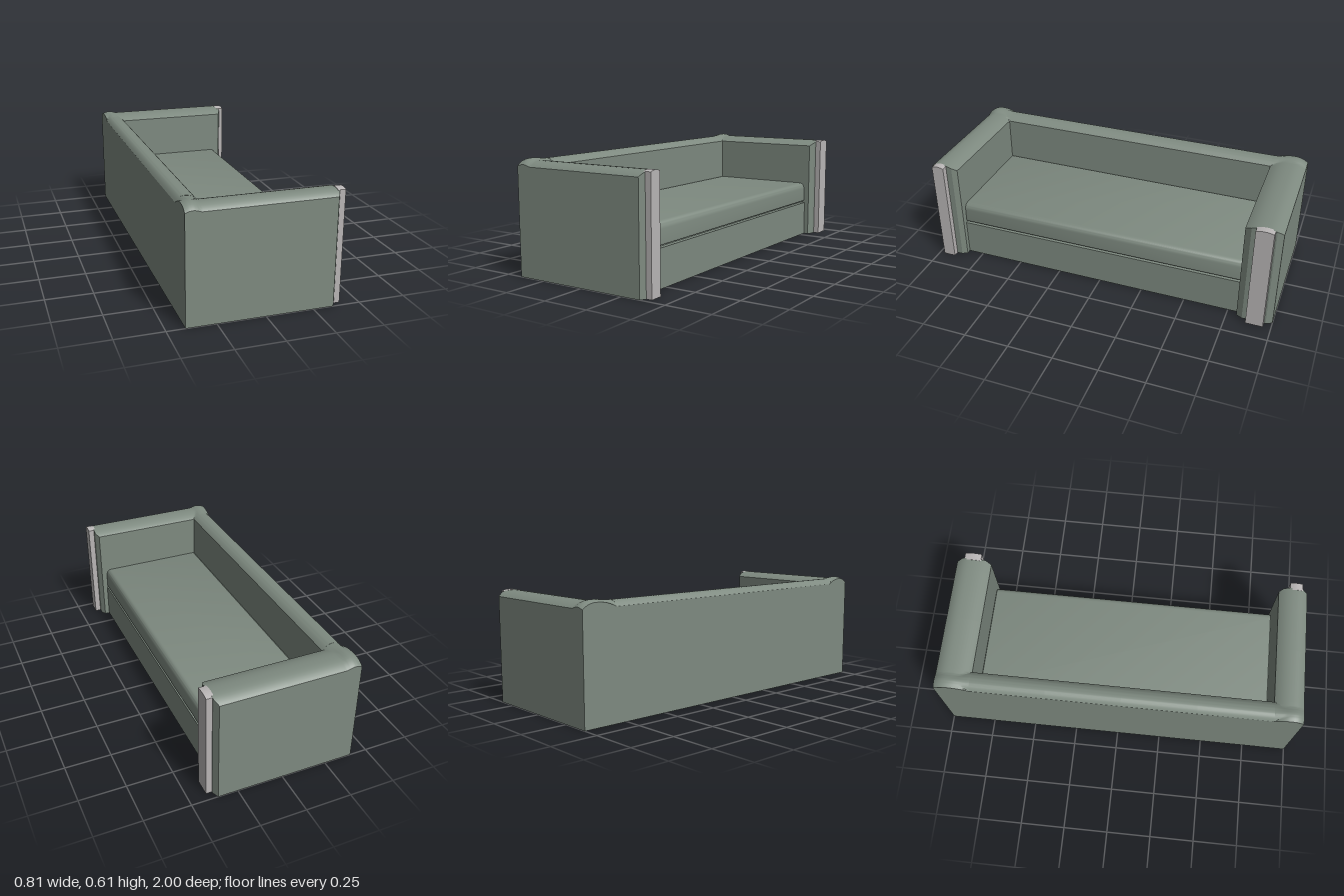
import * as THREE from 'three';
import { toCreasedNormals } from 'three/addons/utils/BufferGeometryUtils.js';

const BACK = -0.405, BACK_IN = -0.295, ARM_END = 0.373, EDGE = 0.573, CROWN = 0.03;
const range = (a, b, n) => Array.from({ length: n + 1 }, (_, i) => a + (b - a) * i / n);

// padded crown: 0 at both edges, 1 at 40 percent of the width
function dome(t) {
  if (t <= 0 || t >= 1) return 0;
  const u = Math.abs(t - 0.4) / (t < 0.4 ? 0.4 : 0.6);
  return 1 - Math.pow(u, 2.4);
}
const backDome = x => dome((x - BACK) / (BACK_IN - BACK));

// block standing on y = 0 whose top follows height(x, z); xs, zs ascending
function paddedBlock(xs, zs, height, limitX = () => Infinity) {
  const pos = [], X = xs.length - 1, Z = zs.length - 1;
  const top = (i, j) => {
    const x = Math.min(xs[i], limitX(zs[j]));
    return [x, height(x, zs[j]), zs[j]];
  };
  const foot = p => [p[0], 0, p[2]];
  const quad = (a, b, c, d) => pos.push(...a, ...b, ...c, ...a, ...c, ...d);
  const wall = (a, b) => quad(foot(a), foot(b), b, a);
  for (let i = 0; i < X; i++) for (let j = 0; j < Z; j++) {
    const a = top(i, j), b = top(i, j + 1), c = top(i + 1, j + 1), d = top(i + 1, j);
    quad(a, b, c, d);
    quad(foot(a), foot(d), foot(c), foot(b));
  }
  for (let i = 0; i < X; i++) {
    wall(top(i, Z), top(i + 1, Z));
    wall(top(i + 1, 0), top(i, 0));
  }
  for (let j = 0; j < Z; j++) {
    wall(top(0, j), top(0, j + 1));
    wall(top(X, j + 1), top(X, j));
  }
  const g = new THREE.BufferGeometry();
  g.setAttribute('position', new THREE.Float32BufferAttribute(pos, 3));
  return toCreasedNormals(g, 0.4);
}

export function createModel() {
  const model = new THREE.Group();
  const fabric = new THREE.MeshStandardMaterial({ color: 0x7e8a80 });
  fabric.name = 'sage fabric';
  const trim = new THREE.MeshStandardMaterial({ color: 0xb9b6b6 });
  trim.name = 'pale grey trim';
  const add = (name, geometry, material) => {
    const mesh = new THREE.Mesh(geometry, material);
    mesh.name = name;
    model.add(mesh);
    return mesh;
  };

  // arms with a domed top, a raised rear corner and a chamfered front end
  const arms = [
    { name: 'leftArm', outer: 1, inner: 0.84, panel: [0.9, 0.97] },
    { name: 'rightArm', outer: -1, inner: -0.803, panel: [-0.957, -0.862] },
  ];
  for (const { name, outer, inner, panel } of arms) {
    const across = z => (z - outer) / (inner - outer);
    const height = (x, z) => {
      const t = across(z), a = dome(t);
      const bump = x < -0.325 ? Math.sin(Math.PI * (x - BACK) / 0.08) : 0;
      const blend = t > 0.4 ? Math.max(a, backDome(x)) : a;
      return EDGE + 0.029 * blend + 0.01 * bump * Math.min(1, (1 - t) / 0.5);
    };
    const end = z => {
      const t = across(z);
      return ARM_END - 0.016 * Math.max(0, 1 - Math.min(t, 1 - t) / 0.17);
    };
    const zs = [0, 0.04, 0.09, 0.17, 0.25, 0.33, 0.4, 0.5, 0.6, 0.7, 0.77, 0.83, 0.9, 0.95, 1]
      .map(t => outer + (inner - outer) * t).sort((a, b) => a - b);
    const xs = [...range(BACK, BACK_IN, 16), 0, 0.3, ARM_END];
    add(name, paddedBlock(xs, zs, height, end), fabric);

    // upright trim panel with a gently arched top
    const [z0, z1] = panel, mid = (z0 + z1) / 2;
    const shape = new THREE.Shape();
    shape.moveTo(-z1, 0);
    shape.lineTo(-z0, 0);
    shape.lineTo(-z0, 0.597);
    shape.quadraticCurveTo(-mid, 0.611, -z1, 0.597);
    shape.closePath();
    const geo = new THREE.ExtrudeGeometry(shape, { depth: 0.042, bevelEnabled: false, curveSegments: 8 });
    geo.rotateY(Math.PI / 2);
    geo.translate(0.363, 0, 0);
    add(name + 'FrontPanel', geo, trim);
  }

  // backrest between the arms
  add('backrest', paddedBlock(range(BACK, BACK_IN, 16), range(-0.803, 0.84, 4),
    x => EDGE + CROWN * backDome(x)), fabric);

  // base and the recessed strip below the cushion
  const block = (name, x0, x1, y0, y1) => add(name,
    new THREE.BoxGeometry(x1 - x0, y1 - y0, 1.643)
      .translate((x0 + x1) / 2, (y0 + y1) / 2, 0.0185), fabric);
  block('seatBase', BACK_IN, 0.33, 0, 0.204);
  block('cushionRecess', BACK_IN, 0.305, 0.204, 0.217);

  // seat cushion with a rounded front and small seams around the top
  const s = new THREE.Shape();
  s.moveTo(BACK_IN, 0.215);
  s.lineTo(0.322, 0.215);
  s.quadraticCurveTo(0.33, 0.215, 0.33, 0.225);
  s.lineTo(0.328, 0.295);
  s.quadraticCurveTo(0.325, 0.331, 0.295, 0.331);
  s.lineTo(-0.285, 0.331);
  s.lineTo(BACK_IN, 0.322);
  s.closePath();
  const cushion = new THREE.ExtrudeGeometry(s, {
    depth: 1.623, bevelThickness: 0.01, bevelSize: 0.008, bevelOffset: -0.008,
    bevelSegments: 2, curveSegments: 8,
  });
  cushion.translate(0, 0, -0.793);
  add('seatCushion', toCreasedNormals(cushion, 0.5), fabric);

  return model;
}
